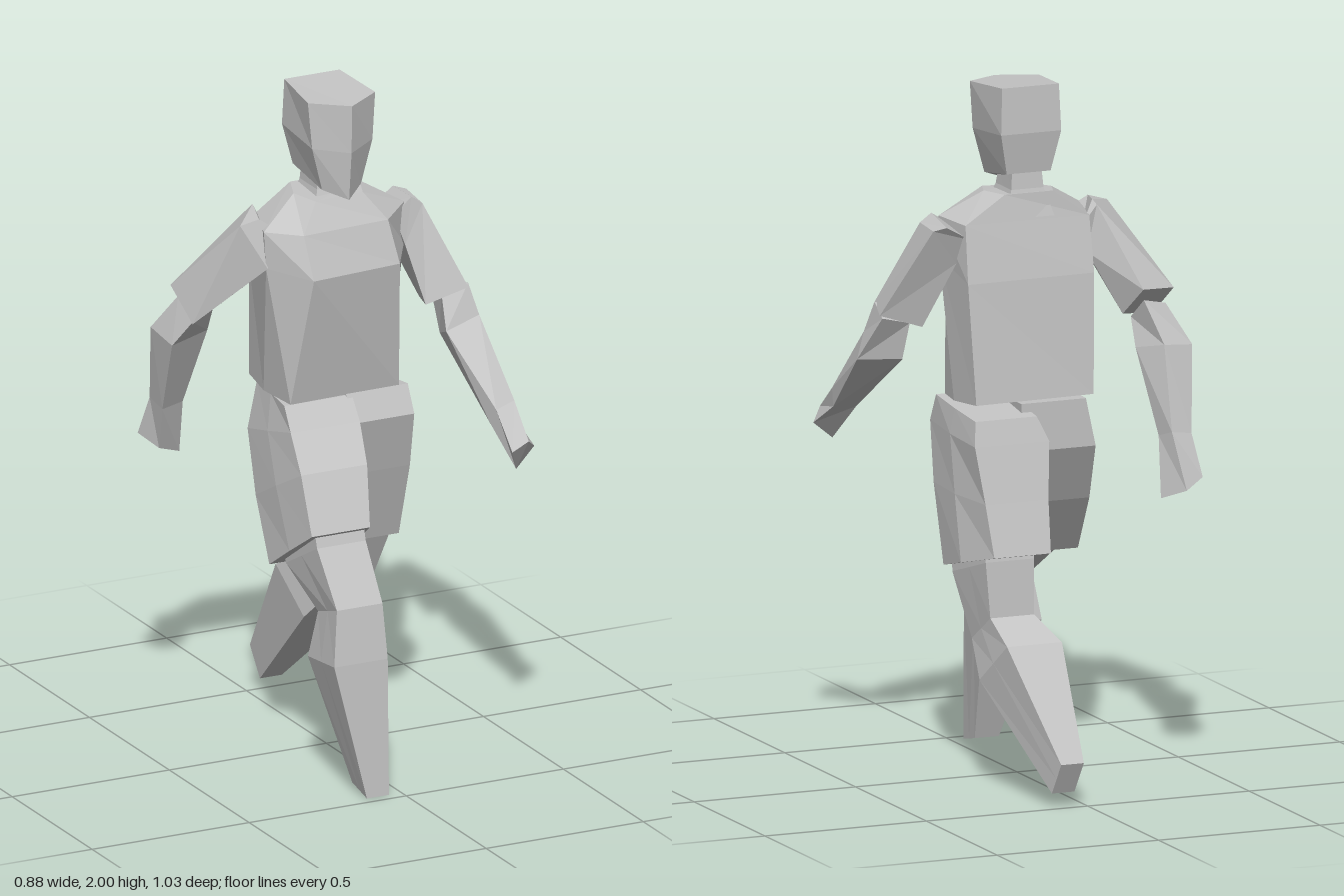
import * as THREE from 'three';

const grey = new THREE.MeshStandardMaterial({ color: 0xc4c4c4 });
grey.name = 'plain grey';
grey.flatShading = true;

// Skin a stack of cross-sections (equal point counts) and cap both ends.
function loft(name, rings) {
  const n = rings[0].length;
  const tris = [];
  for (let r = 0; r < rings.length - 1; r++) {
    for (let i = 0; i < n; i++) {
      const j = (i + 1) % n;
      const a = rings[r][i], b = rings[r][j], c = rings[r + 1][j], d = rings[r + 1][i];
      tris.push([a, b, c], [a, c, d]);
    }
  }
  const first = rings[0], last = rings[rings.length - 1];
  for (let i = 1; i < n - 1; i++) {
    tris.push([first[0], first[i + 1], first[i]], [last[0], last[i], last[i + 1]]);
  }
  // Turn the faces outward whichever way the sections were ordered
  const [p, q, s] = [0, 1, 2].map(() => new THREE.Vector3());
  let volume = 0;
  for (const t of tris) {
    p.fromArray(t[0]); q.fromArray(t[1]); s.fromArray(t[2]);
    volume += p.dot(q.cross(s));
  }
  if (volume < 0) tris.forEach((t) => t.reverse());
  const geometry = new THREE.BufferGeometry();
  geometry.setAttribute('position', new THREE.Float32BufferAttribute(tris.flat(2), 3));
  geometry.computeVertexNormals();
  const mesh = new THREE.Mesh(geometry, grey);
  mesh.name = name;
  return mesh;
}

// Leg section: front and back edges as [x0, x1, y, z], with optional side ridge.
function band(f, b, bulge = 0) {
  const y = (f[2] + b[2]) / 2, z = (f[3] + b[3]) / 2;
  return [
    [f[0], f[2], f[3]], [f[1], f[2], f[3]], [(f[1] + b[1]) / 2 + bulge, y, z],
    [b[1], b[2], b[3]], [b[0], b[2], b[3]], [(f[0] + b[0]) / 2 - bulge, y, z],
  ];
}

// Head section: pointed front, two cheeks, narrower back.
function headRing(half, yFront, zFront, yCheek, zCheek, backHalf, yBack, zBack) {
  const x = -0.018;
  return [
    [x, yFront, zFront], [x + half, yCheek, zCheek], [x + backHalf, yBack, zBack],
    [x - backHalf, yBack, zBack], [x - half, yCheek, zCheek],
  ];
}

export function createModel() {
  const model = new THREE.Group();
  model.name = 'walkingFigure';

  // Head and neck
  model.add(loft('head', [
    headRing(0.107, 1.983, 0.197, 1.988, 0.13, 0.088, 2.0, -0.055),
    headRing(0.096, 1.84, 0.193, 1.85, 0.135, 0.093, 1.865, -0.06),
    headRing(0.062, 1.695, 0.178, 1.72, 0.13, 0.068, 1.747, -0.042),
  ]));
  model.add(loft('neck', [
    band([-0.06, 0.03, 1.75, 0.06], [-0.06, 0.03, 1.76, -0.035]),
    band([-0.065, 0.035, 1.7, 0.07], [-0.065, 0.035, 1.7, -0.04]),
    band([-0.09, 0.06, 1.62, 0.1], [-0.09, 0.06, 1.62, -0.06]),
  ]));

  // Torso: front pair, side, back pair, side
  model.add(loft('torso', [
    [[-0.09, 1.68, 0.11], [0.06, 1.685, 0.11], [0.09, 1.69, 0.03],
      [0.06, 1.69, -0.05], [-0.09, 1.69, -0.05], [-0.12, 1.685, 0.03]],
    [[-0.15, 1.6, 0.155], [0.12, 1.605, 0.15], [0.212, 1.62, 0.07],
      [0.19, 1.615, -0.07], [-0.2, 1.61, -0.055], [-0.25, 1.61, 0.1]],
    [[-0.14, 1.475, 0.198], [0.14, 1.48, 0.185], [0.206, 1.5, 0.08],
      [0.195, 1.45, -0.1], [-0.2, 1.45, -0.09], [-0.243, 1.5, 0.1]],
    [[-0.175, 1.085, 0.12], [0.17, 1.09, 0.12], [0.195, 1.095, 0.0],
      [0.185, 1.105, -0.135], [-0.185, 1.105, -0.12], [-0.2, 1.095, 0.0]],
  ]));

  // Shorts, one tube per leg
  model.add(loft('rightShorts', [
    band([-0.195, 0.02, 1.085, 0.12], [-0.17, 0.03, 1.09, -0.1]),
    band([-0.2, 0.02, 1.02, 0.17], [-0.2, 0.03, 0.95, -0.1], 0.005),
    band([-0.21, 0.0, 0.92, 0.255], [-0.22, 0.02, 0.78, -0.01], 0.008),
    band([-0.215, -0.03, 0.76, 0.332], [-0.235, 0.0, 0.61, 0.105], 0.004),
  ]));
  model.add(loft('leftShorts', [
    band([0.0, 0.198, 1.09, 0.12], [0.0, 0.19, 1.06, -0.14], 0.003),
    band([0.02, 0.2, 1.01, 0.157], [-0.03, 0.2, 0.99, -0.16], 0.008),
    band([0.025, 0.21, 0.84, 0.11], [-0.01, 0.185, 0.83, -0.2], 0.015),
    band([0.025, 0.21, 0.612, 0.04], [0.0, 0.175, 0.682, -0.24], 0.025),
  ]));

  // Bare legs from under the hem to the foot
  model.add(loft('rightLeg', [
    band([-0.195, -0.04, 0.8, 0.3], [-0.2, -0.02, 0.7, 0.1]),
    band([-0.195, -0.04, 0.72, 0.325], [-0.2, -0.02, 0.62, 0.14]),
    band([-0.18, -0.035, 0.56, 0.42], [-0.17, -0.02, 0.515, 0.282]),
    band([-0.2, -0.03, 0.4, 0.443], [-0.19, -0.01, 0.375, 0.258]),
    band([-0.11, -0.04, 0.0, 0.47], [-0.11, -0.035, 0.02, 0.378]),
  ]));
  model.add(loft('leftLeg', [
    band([0.03, 0.195, 0.7, 0.02], [0.03, 0.175, 0.72, -0.18]),
    band([0.03, 0.2, 0.6, 0.0], [0.03, 0.18, 0.66, -0.19]),
    band([0.055, 0.175, 0.42, -0.08], [0.035, 0.17, 0.5, -0.2]),
    band([0.02, 0.195, 0.32, -0.18], [0.0, 0.17, 0.44, -0.318]),
    band([0.03, 0.1, 0.04, -0.475], [0.02, 0.09, 0.13, -0.518]),
  ]));

  // Arms: corners run outer front, inner front, inner back, outer back
  model.add(loft('leftSleeve', [
    [[0.235, 1.63, 0.07], [0.17, 1.59, 0.09], [0.17, 1.57, -0.06], [0.25, 1.615, -0.075]],
    [[0.27, 1.605, 0.07], [0.2, 1.5, 0.1], [0.2, 1.5, -0.03], [0.285, 1.605, -0.06]],
    [[0.37, 1.365, 0.162], [0.245, 1.325, 0.14], [0.28, 1.31, 0.03], [0.405, 1.35, 0.045]],
  ]));
  model.add(loft('leftForearm', [
    [[0.38, 1.37, 0.14], [0.3, 1.35, 0.13], [0.31, 1.32, 0.05], [0.395, 1.34, 0.05]],
    [[0.4, 1.28, 0.17], [0.29, 1.25, 0.18], [0.32, 1.21, 0.08], [0.438, 1.21, 0.13]],
    [[0.415, 1.08, 0.36], [0.345, 1.07, 0.385], [0.34, 1.02, 0.36], [0.42, 1.03, 0.34]],
    [[0.395, 1.0, 0.49], [0.33, 0.985, 0.515], [0.37, 0.912, 0.46], [0.438, 0.965, 0.44]],
  ]));
  model.add(loft('rightSleeve', [
    [[-0.25, 1.64, 0.07], [-0.18, 1.59, 0.1], [-0.18, 1.58, -0.05], [-0.22, 1.65, -0.03]],
    [[-0.305, 1.625, 0.06], [-0.24, 1.5, 0.105], [-0.2, 1.5, -0.04], [-0.23, 1.635, -0.04]],
    [[-0.42, 1.4, -0.15], [-0.4, 1.31, -0.05], [-0.275, 1.33, -0.12], [-0.3, 1.415, -0.21]],
  ]));
  model.add(loft('rightForearm', [
    [[-0.39, 1.36, -0.16], [-0.38, 1.3, -0.09], [-0.3, 1.32, -0.12], [-0.31, 1.38, -0.19]],
    [[-0.44, 1.25, -0.235], [-0.42, 1.22, -0.14], [-0.295, 1.24, -0.165], [-0.345, 1.26, -0.255]],
    [[-0.405, 1.01, -0.31], [-0.395, 0.99, -0.25], [-0.325, 1.0, -0.26], [-0.34, 1.02, -0.32]],
    [[-0.42, 0.89, -0.355], [-0.38, 0.855, -0.3], [-0.308, 0.83, -0.315], [-0.35, 0.865, -0.402]],
  ]));

  return model;
}
